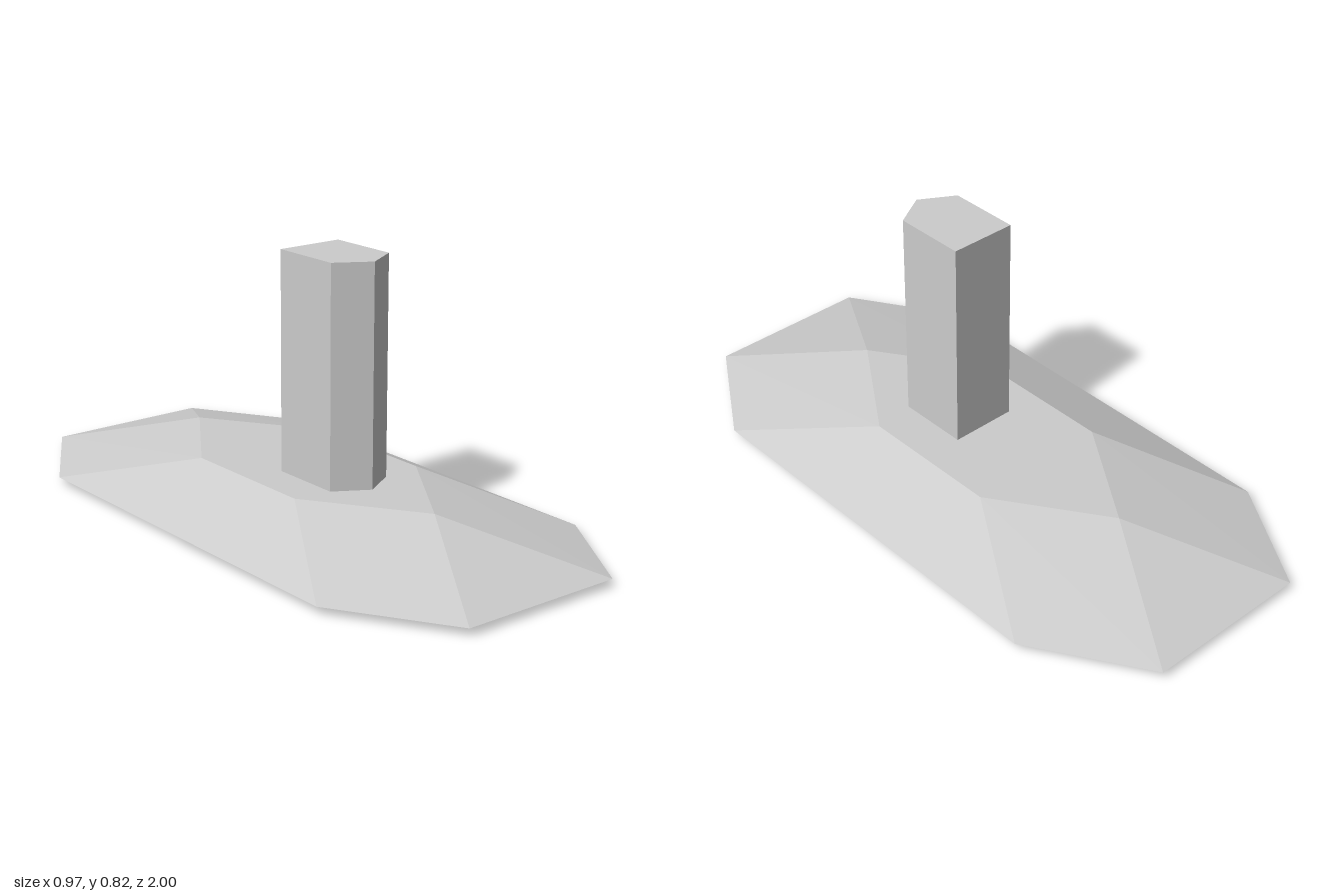
import * as THREE from 'three';
import { ConvexGeometry } from 'three/addons/geometries/ConvexGeometry.js';

export function createModel() {
  const group = new THREE.Group();
  const grey = new THREE.MeshStandardMaterial({ color: 0xcccccc, flatShading: true });
  grey.name = 'light grey';

  // Faceted base: octagonal underside rising to a smaller hexagonal top
  const bottomY = 0.025, topY = 0.148;
  const corners = [];
  for (const sz of [-1, 1]) {
    corners.push(new THREE.Vector3(0, topY, sz * 0.57));
    for (const sx of [-1, 1]) {
      corners.push(
        new THREE.Vector3(sx * 0.265, bottomY, sz),
        new THREE.Vector3(sx * 0.485, bottomY, sz * 0.65),
        new THREE.Vector3(sx * 0.231, topY, sz * 0.23)
      );
    }
  }
  const base = new THREE.Mesh(new ConvexGeometry(corners), grey);
  base.name = 'base';
  group.add(base);

  // Five-sided column, pointed to the front, passing through the base
  const outline = [[-0.114, 0.017], [0.099, 0.017], [0.099, 0.247], [-0.007, 0.31], [-0.114, 0.247]];
  const shape = new THREE.Shape(outline.map(([x, z]) => new THREE.Vector2(x, -z)));
  const columnGeometry = new THREE.ExtrudeGeometry(shape, { depth: 0.823, bevelEnabled: false });
  columnGeometry.rotateX(-Math.PI / 2);
  const column = new THREE.Mesh(columnGeometry, grey);
  column.name = 'column';
  group.add(column);

  return group;
}
